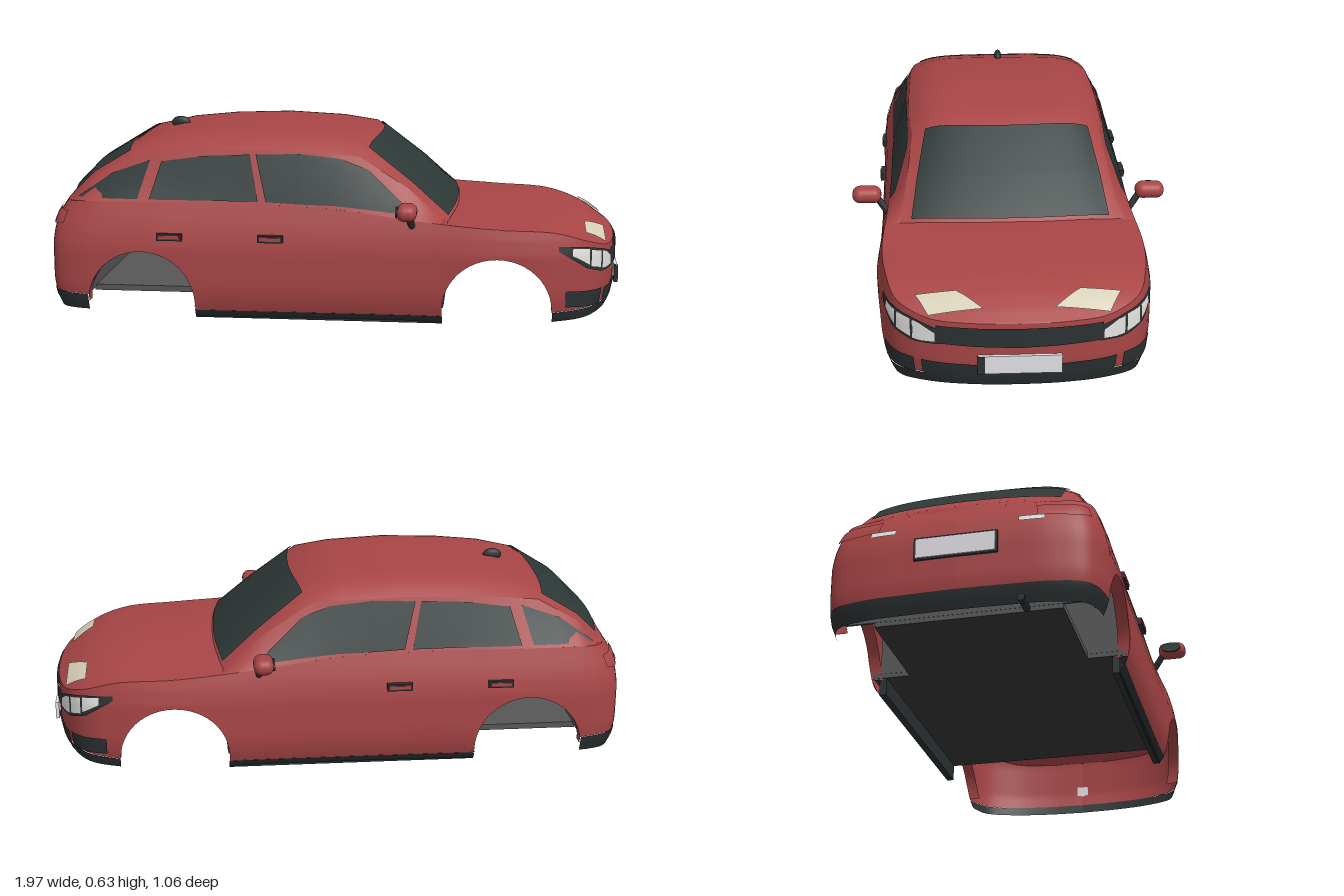
import * as THREE from 'three';
import { RoundedBoxGeometry } from 'three/addons/geometries/RoundedBoxGeometry.js';

const V = (x, y, z) => new THREE.Vector3(x, y, z);
const mat = (name, color, side = THREE.DoubleSide) => {
  const m = new THREE.MeshStandardMaterial({ color, side });
  m.name = name;
  return m;
};
// table lookup: rows [x, a, b, ...] with rising x, linear between rows
function look(table, x, k = 1) {
  let j = 1;
  while (j < table.length - 1 && table[j][0] < x) j++;
  const a = table[j - 1], b = table[j];
  const t = THREE.MathUtils.clamp((x - a[0]) / (b[0] - a[0]), 0, 1);
  return a[k] + (b[k] - a[k]) * t;
}
// smooth surface through rows of points, leaving out empty triangles
function grid(rows, flip = false) {
  const n = rows[0].length, pts = rows.flat(), index = [];
  const tri = (a, b, c) => {
    const area = pts[b].clone().sub(pts[a]).cross(pts[c].clone().sub(pts[a])).length();
    if (area > 1e-8) index.push(a, flip ? c : b, flip ? b : c);
  };
  for (let r = 0; r < rows.length - 1; r++)
    for (let c = 0; c < n - 1; c++) {
      const a = r * n + c, b = a + n;
      tri(a, b, a + 1);
      tri(b, b + 1, a + 1);
    }
  const g = new THREE.BufferGeometry().setFromPoints(pts);
  g.setIndex(index);
  g.computeVertexNormals();
  return g;
}
const steps = (a, b, n) => Array.from({ length: n + 1 }, (_, k) => a + (b - a) * k / n);

// plan outline of one half, nose to tail: x, half width, height of the upper edge
const OUTLINE = [[.972, 0, .258], [.963, .15, .259], [.932, .28, .264], [.865, .38, .293], [.75, .425, .325],
  [.56, .445, .335], [.3, .437, .355], [0, .437, .39], [-.4, .44, .4], [-.63, .445, .4], [-.85, .435, .4],
  [-.93, .4, .395], [-.963, .3, .39], [-.972, .15, .388], [-.976, 0, .385]];
const END = OUTLINE.length - 1;
const outline = new THREE.CatmullRomCurve3(OUTLINE.map(([x, z, t]) => V(x, t, z)));
// tuck-in of the body by height: y, width factor, length factor
const TUCK = [[0, .9, .965], [.03, .95, .975], [.07, .985, .99], [.12, 1, 1], [.25, 1, 1], [.3, .98, .992],
  [.34, .955, .98], [.4, .91, .94]];
const BOTTOM = [[-.98, .03, .09], [-.82, .03, .085], [-.45, .005, .035], [.385, .005, .035], [.75, .02, .055], [.965, .04, .075]];
const HOOD = [[.4, .357], [.5, .36], [.7, .35], [.81, .337], [.88, .315], [.93, .288], [.972, .258]];
// roof rail: x, y, half width, crown forward, crown upward
const RAIL = [[-.88, .395, .35, -.04, .01], [-.8, .475, .335, -.03, .02], [-.67, .548, .325, -.015, .035],
  [-.55, .562, .335, -.01, .05], [-.4, .57, .338, 0, .058], [-.2, .573, .34, 0, .062], [0, .565, .337, 0, .06],
  [.1, .555, .325, .04, .052], [.265, .455, .345, .045, .02], [.4, .345, .37, .03, .012]];
const ARCHES = [.567, -.63], ARCH_R = .182;

function indexAt(x) {
  let a = 0, b = END;
  for (let k = 0; k < 30; k++) {
    const m = (a + b) / 2;
    if (outline.getPoint(m / END).x > x) a = m; else b = m;
  }
  return a;
}
function body(i, y, s = 1, off = 0) {
  const p = outline.getPoint(i / END);
  const x = p.x * (1 - (1 - look(TUCK, y, 2)) * THREE.MathUtils.smoothstep(Math.abs(p.x), .8, .96));
  return V(x * (1 + off), y, s * Math.max(0, p.z) * look(TUCK, y, 1) * (1 + off));
}
const edge = (i, s = 1) => body(i, outline.getPoint(i / END).y, s);
function hood(i, u, lift = 0) {
  const e = edge(i);
  return V(e.x, e.y + Math.max(0, look(HOOD, e.x) - e.y) * (1 - u * u) + lift, e.z * u);
}
function cap(x, u, dx = 0, dy = 0) {
  const [y, z, bx, by] = [1, 2, 3, 4].map(k => look(RAIL, x, k));
  return V(x + bx * (1 - u * u) + dx, y + by * (1 - u ** 6) + dy, z * u);
}
// point on the flank above the belt line
function flank(x, y, s) {
  const e = edge(indexAt(x)), r = cap(x, 1);
  const t = (y - e.y) / (r.y - e.y);
  return V(x, y, s * (e.z + (r.z - e.z) * t + .005));
}

export function createModel() {
  const car = new THREE.Group();
  car.name = 'carBody';
  const paint = mat('red paint', 0xa84546), glass = mat('dark glass', 0x2d3837), trim = mat('black trim', 0x2b3133);
  const lamp = mat('lamp white', 0xe4e5e1), plate = mat('plate grey', 0xe2e0e5), beige = mat('beige lens', 0xd6cfb9);
  const wall = mat('bulkhead grey', 0x565656), under = mat('floor black', 0x373737);
  const add = (name, geo, m, pos) => {
    const mesh = new THREE.Mesh(geo, m);
    mesh.name = name;
    if (pos) mesh.position.set(...pos);
    car.add(mesh);
    return mesh;
  };
  const box = (name, m, size, pos) => add(name, new THREE.BoxGeometry(...size), m, pos);

  // stations round one half of the body: outline index, lower edge, top of the skirt
  const plain = i => {
    const x = outline.getPoint(i / END).x;
    return [i, look(BOTTOM, x, 1), look(BOTTOM, x, 2)];
  };
  const arches = ARCHES.map(c => steps(0, Math.PI, 24).map(a => {
    const y = .06 + .178 * Math.sin(a);
    return [indexAt(c + ARCH_R * Math.cos(a)), y, y];
  }));
  const stations = [...steps(0, arches[0][0][0], 20).map(plain), ...arches[0],
    ...steps(arches[0][24][0], arches[1][0][0], 14).map(plain), ...arches[1],
    ...steps(arches[1][24][0], END, 24).map(plain)];

  for (const s of [1, -1]) {
    const side = s > 0 ? 'left' : 'right', flip = s < 0;
    // lower body, skirt, sill and wheel arch lips
    add(side + 'LowerBody', grid(stations.map(([i, , sk]) =>
      steps(sk, outline.getPoint(i / END).y, 12).map(y => body(i, y, s))), !flip), paint);
    add(side + 'Skirt', grid(stations.map(([i, lo, sk]) => steps(lo, sk, 3).map(y => body(i, y, s, .003))), !flip), trim);
    box(side + 'Sill', trim, [.83, .062, .024], [-.032, .037, s * .392]);
    arches.forEach((a, k) => add(side + (k ? 'Rear' : 'Front') + 'ArchLip', grid(a.map(([i, y]) => {
      const p = body(i, y, s);
      return [p, V(p.x, p.y, p.z - s * .04)];
    }), flip), paint));

    // flank between belt line and roof rail
    add(side + 'Flank', grid(RAIL.flatMap((r, k) => k ? steps(RAIL[k - 1][0], r[0], 3).slice(1) : [r[0]]).map(x => {
      const e = edge(indexAt(x), s), r = cap(x, s);
      return steps(0, 1, 4).map(t => e.clone().lerp(r, t));
    }), flip), paint);
    // side windows: upper and lower edge as x, y points
    const windows = {
      FrontWindow: [[[-.248, .56], [-.1, .564], [.04, .549], [.13, .515], [.255, .405]], [[-.208, .408], [-.1, .403], [.02, .4], [.13, .39], [.255, .376]]],
      RearWindow: [[[-.57, .532], [-.42, .553], [-.268, .56]], [[-.605, .41], [-.42, .41], [-.235, .408]]],
      QuarterWindow: [[[-.84, .422], [-.74, .49], [-.61, .535]], [[-.855, .411], [-.74, .411], [-.645, .411]]],
    };
    for (const [name, [up, low]] of Object.entries(windows))
      add(side + name, grid(up.map((p, k) => steps(0, 1, 4).map(t =>
        flank(low[k][0] + (p[0] - low[k][0]) * t, low[k][1] + (p[1] - low[k][1]) * t, s))), flip), glass);

    // patches that follow the body: outline index, lower y, upper y
    const patch = (name, m, pts, off) => add(side + name, grid(steps(pts[0][0], pts.at(-1)[0], 14).map(i =>
      steps(look(pts, i, 1), look(pts, i, 2), 4).map(y => body(i, y, s, off))), !flip), m);
    patch('Grille', trim, [[0, .18, .245], [1.8, .188, .248]], .007);
    patch('LowerGrille', trim, [[0, .05, .118], [1.9, .055, .122], [2.2, .075, .122]], .005);
    patch('FogVent', trim, [[2.4, .07, .125], [3.7, .075, .13]], .007);
    patch('HeadlightHousing', trim, [[1.7, .185, .235], [2.4, .182, .26], [3.1, .205, .276], [3.9, .265, .282]], .007);
    patch('InnerLamp', lamp, [[1.82, .193, .222], [2.2, .19, .247], [2.42, .192, .254]], .01);
    patch('MiddleLamp', lamp, [[2.48, .195, .256], [2.95, .21, .265]], .01);
    patch('OuterLamp', lamp, [[3.02, .216, .268], [3.55, .25, .274]], .01);
    patch('TailLamp', paint, [[10.6, .325, .365], [11.4, .315, .368], [12.3, .32, .365]], .006);
    patch('ReverseLamp', lamp, [[12.15, .3, .318], [12.7, .3, .318]], .009);
    if (s > 0) patch('FuelFlap', paint, [[indexAt(-.745), .265, .335], [indexAt(-.83), .265, .335]], .006);

    // beige lens lying on the hood
    add(side + 'HoodLens', grid(steps(0, 1, 5).map(a => steps(0, 1, 6).map(b => {
      const x = .86 + .07 * a, i = indexAt(x);
      const z = (.193 - .083 * a) * (1 - b) + (.32 - .04 * a) * b;
      const p = hood(i, Math.min(1, z / edge(i).z), .008);
      return V(x, p.y, s * z);
    })), flip), beige);

    // door handles in dark recesses
    for (const x of [-.53, -.188]) {
      box(side + 'HandleRecess', trim, [.085, .024, .018], [x, .29, s * .438]);
      box(side + 'DoorHandle', paint, [.07, .012, .016], [x, .29, s * .442]);
    }

    // door mirror
    add(side + 'MirrorShell', new RoundedBoxGeometry(.066, .054, .098, 5, .026), paint, [.27, .4, s * .482]);
    const pane = add(side + 'MirrorGlass', new THREE.CylinderGeometry(1, 1, .006, 20).rotateZ(Math.PI / 2), glass, [.236, .4, s * .482]);
    pane.scale.set(1, .018, .036);
    add(side + 'MirrorArm', new THREE.TubeGeometry(new THREE.LineCurve3(V(.272, .385, s * .445), V(.285, .33, s * .405)), 1, .012, 8), trim);
  }

  // hood
  const us = steps(-1, 1, 24);
  add('hood', grid(steps(0, indexAt(.4), 28).map(i => us.map(u => hood(i, u)))), paint);
  // roof with pillars, windscreen and rear window: glass rows are rail x and share of the width
  add('roof', grid(RAIL.map(r => us.map(u => cap(r[0], u))), true), paint);
  add('windscreen', grid([[.39, .9], [.265, .9], [.112, .86]].map(([x, w]) => us.map(u => cap(x, u * w, .005, .004)))), glass);
  add('rearWindow', grid([[-.68, .92], [-.8, .92], [-.866, .88]].map(([x, w]) => us.map(u => cap(x, u * w, -.005, .004)))), glass);
  // ledge between the rear window and the tail
  const tail = steps(indexAt(-.88), END, 12);
  const rim = [...tail.map(i => edge(i, 1)), ...tail.reverse().map(i => edge(i, -1))];
  add('tailLedge', grid(rim.map(p => [p, cap(-.88, THREE.MathUtils.clamp(p.z / .35, -1, 1))])), paint);

  // number plates
  box('frontPlate', plate, [.012, .06, .26], [.977, .125, 0]);
  box('frontPlateBand', trim, [.014, .06, .024], [.978, .125, .12]);
  box('rearPlate', plate, [.012, .065, .25], [-.98, .235, 0]);
  box('rearPlateFrame', trim, [.008, .075, .262], [-.978, .235, 0]);
  // roof aerial and exhaust
  const fin = add('roofAerial', new THREE.SphereGeometry(1, 12, 8), trim, [-.57, .615, 0]);
  fin.scale.set(.034, .022, .014);
  add('exhaust', new THREE.CylinderGeometry(.012, .012, .08, 12).rotateZ(Math.PI / 2), trim, [-.925, .045, .2]);

  // floor and bulkheads
  const floorSides = [wall, wall, wall, under, wall, wall];
  box('cabinFloor', floorSides, [.84, .02, .85], [-.03, .075, 0]);
  box('bootFloor', floorSides, [.38, .02, .6], [-.635, .075, 0]);
  box('frontBulkhead', wall, [.008, .25, .82], [.388, .2, 0]);
  box('seatBulkhead', wall, [.008, .29, .8], [-.447, .225, 0]);
  box('bootBulkhead', wall, [.008, .29, .79], [-.822, .225, 0]);
  return car;
}
